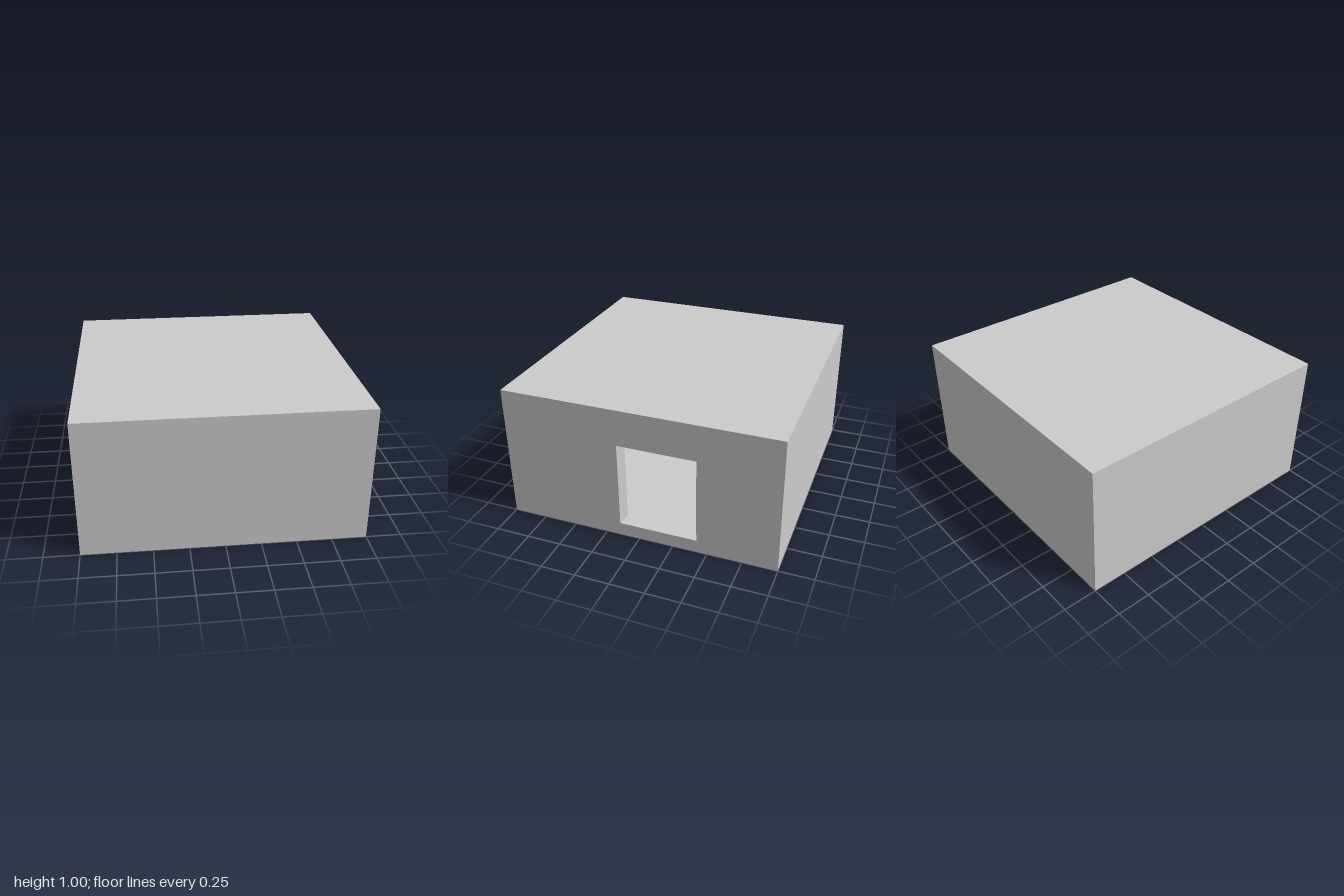
import * as THREE from 'three';

const material = new THREE.MeshStandardMaterial({ color: 0xcccccc, flatShading: true });
const WALL = 0.1;

// Rectangle corners, counter-clockwise, in (-z, y) of the doorway wall
const rect = (u0, v0, u1, v1) => [[u0, v0], [u1, v0], [u1, v1], [u0, v1]].map(p => new THREE.Vector2(...p));

// Doorway outline on the outer and inner faces; the jambs are slightly splayed
const outerDoor = rect(-0.145, 0.096, 0.427, 0.733);
const innerDoor = rect(-0.132, WALL, 0.386, 0.733);

function finish(geometry, inward) {
  if (inward) geometry.setIndex(Array.from(geometry.index.array).reverse());
  const flat = geometry.toNonIndexed();
  flat.computeVertexNormals();
  return flat;
}

// Box without its +x face, optionally turned to face inward
function openBox(w, h, d, inward) {
  const box = new THREE.BoxGeometry(w, h, d);
  box.setIndex(Array.from(box.index.array).slice(6));
  box.translate(0, 0.5, 0);
  return finish(box, inward);
}

// Flat wall face standing at the given x
function wallFace(shape, x, inward) {
  const face = new THREE.ShapeGeometry(shape);
  face.rotateY(Math.PI / 2).translate(x, 0, 0);
  return finish(face, inward);
}

// Jambs, lintel and sill joining the two doorway outlines
function doorReveal() {
  const points = [];
  const at = (p, x) => [x, p.y, -p.x];
  for (let i = 0; i < 4; i++) {
    const j = (i + 1) % 4;
    const a = at(outerDoor[i], 1), b = at(outerDoor[j], 1);
    const c = at(innerDoor[j], 1 - WALL), d = at(innerDoor[i], 1 - WALL);
    points.push(...a, ...b, ...c, ...a, ...c, ...d);
  }
  const geometry = new THREE.BufferGeometry();
  geometry.setAttribute('position', new THREE.Float32BufferAttribute(points, 3));
  geometry.computeVertexNormals();
  return geometry;
}

export function createModel() {
  const model = new THREE.Group();
  model.name = 'room';
  const add = (name, geometry) => {
    const mesh = new THREE.Mesh(geometry, material);
    mesh.name = name;
    model.add(mesh);
  };

  // Outer and inner skins of the hollow block
  add('outerShell', openBox(2, 1, 2, false));
  const inner = 2 - 2 * WALL;
  add('innerRoom', openBox(inner, 1 - 2 * WALL, inner, true));

  // Outside of the doorway wall
  const outside = new THREE.Shape(rect(-1, 0, 1, 1));
  outside.holes.push(new THREE.Path(outerDoor));
  add('doorWallOutside', wallFace(outside, 1, false));

  // Inside of the doorway wall, notched down to the floor
  const [floorLeft, floorRight, topRight, topLeft] = innerDoor;
  const [c0, c1, c2, c3] = rect(-1 + WALL, WALL, 1 - WALL, 1 - WALL);
  const inside = new THREE.Shape([c0, floorLeft, topLeft, topRight, floorRight, c1, c2, c3]);
  add('doorWallInside', wallFace(inside, 1 - WALL, true));

  add('doorReveal', doorReveal());
  return model;
}
